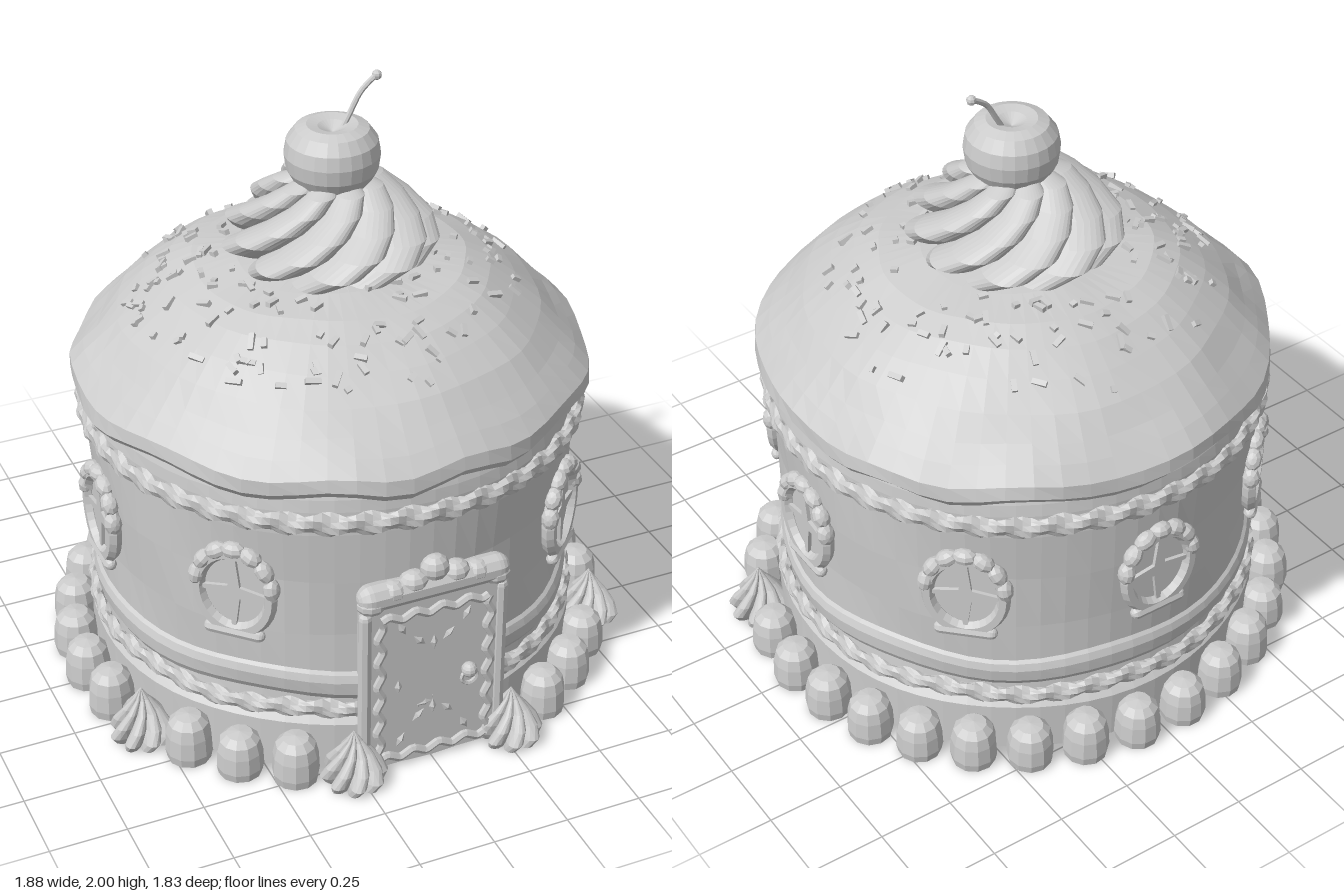
import * as THREE from 'three';

const clay = new THREE.MeshStandardMaterial({ color: 0xcccccc, flatShading: true });
clay.name = 'pale grey';

let seed = 7;
const rand = () => (seed = (seed * 16807) % 2147483647) / 2147483647;
const { sin, cos, PI, abs } = Math;
const rad = (d) => d * PI / 180;

function add(parent, name, geometry, x = 0, y = 0, z = 0) {
  const mesh = new THREE.Mesh(geometry, clay);
  mesh.name = name;
  mesh.position.set(x, y, z);
  parent.add(mesh);
  return mesh;
}

// Turned shape whose points are moved by rule(angle, radius, y) -> [angle, radius, y]
function turned(profile, sides, rule = (a, r, y) => [a, r, y]) {
  const geo = new THREE.LatheGeometry(profile.map(([r, y]) => new THREE.Vector2(r, y)), sides);
  const p = geo.attributes.position;
  const n = profile.length;
  for (let i = 0; i < p.count; i++) {
    const [r0, y0] = profile[i % n];
    const [a, r, y] = rule((Math.floor(i / n) % sides) / sides * 2 * PI, r0, y0);
    p.setXYZ(i, r * sin(a), y, r * cos(a));
  }
  geo.computeVertexNormals();
  return geo;
}

// Piped cream: lobed cross-section twisting as it rises
function piped(profile, lobes, twist, depth, sides) {
  const height = profile[profile.length - 1][1];
  return turned(profile, sides, (a, r, y) =>
    [a + twist * y / height, r * (1 - depth + depth * abs(cos(a * lobes / 2)) ** 0.8 * 1.3), y]);
}

// Twisted icing cord around the wall
function cord(radius, y, halfHeight, halfDepth, wobble) {
  const n = 10;
  const profile = Array.from({ length: n + 1 }, (_, i) => {
    const t = i / n * 2 * PI - PI;
    return [radius + halfDepth * cos(t), y + halfHeight * sin(t)];
  });
  return turned(profile, 200, (a, r, py) => {
    const t = Math.atan2((py - y) / halfHeight, (r - radius) / halfDepth);
    const k = 0.9 + 0.25 * sin(2 * t - 40 * a);
    return [a, radius + (r - radius) * k, y + (py - y) * k + wobble * sin(9 * a)];
  });
}

// Dome height profile, also used to seat the sprinkles
const domeProfile = [[0.77, 1.03], [0.80, 1.015], [0.825, 1.045], [0.82, 1.09], [0.775, 1.14], [0.73, 1.185],
  [0.67, 1.25], [0.59, 1.315], [0.51, 1.37], [0.43, 1.405], [0.3, 1.425], [0.15, 1.435], [0, 1.44]];
const domeRule = (a, r, y) => {
  const low = Math.max(0, (1.25 - y) / 0.25);
  const lump = 0.008 * sin(5 * a + y * 9) + 0.006 * sin(11 * a - y * 14);
  return [a, r * (1 + lump), y + 0.018 * low * sin(10 * a + sin(3 * a)) + 0.006 * sin(4 * a + r * 9) * (1 - low)];
};
function domeHeight(r) {
  const i = domeProfile.findIndex(([pr], k) => k > 2 && pr <= r);
  const [r0, y0] = domeProfile[i - 1], [r1, y1] = domeProfile[i];
  const slope = (y1 - y0) / (r0 - r1);
  return { y: y0 + slope * (r0 - r), slope };
}

// Round window facing +z, local origin at its centre on the wall
function makeWindow() {
  const g = new THREE.Group();
  add(g, 'windowPane', new THREE.CircleGeometry(1, 24), 0, 0, 0.006).scale.set(0.11, 0.135, 1);
  add(g, 'windowFrame', new THREE.TorusGeometry(0.12, 0.022, 6, 28), 0, 0, 0.008).scale.set(1, 1.18, 1.1);
  // Glazing cross, thick in the middle and narrow at the ends
  const s = new THREE.Shape();
  for (let i = 0; i < 4; i++) {
    const a = i * PI / 2, len = i % 2 ? 0.13 : 0.11;
    const pt = (u, v) => [u * cos(a) - v * sin(a), u * sin(a) + v * cos(a)];
    if (i === 0) s.moveTo(...pt(len, -0.006)); else s.lineTo(...pt(len, -0.006));
    s.lineTo(...pt(len, 0.006));
    s.lineTo(...pt(0.02, 0.02));
  }
  add(g, 'windowCross', new THREE.ExtrudeGeometry(s, { depth: 0.014, bevelEnabled: false }), 0, 0, 0.004);
  // Scalloped icing over the top
  for (let i = 0; i < 7; i++) {
    const a = rad(10 + i * 160 / 6);
    const m = add(g, 'windowIcing', new THREE.SphereGeometry(1, 9, 6), 0.125 * cos(a), 0.015 + 0.14 * sin(a), 0.012);
    m.scale.set(0.04, 0.027, 0.03);
    m.rotation.z = a + PI / 2;
  }
  const sill = add(g, 'windowSill', new THREE.CapsuleGeometry(0.021, 0.16, 4, 8), 0, -0.145, 0.014);
  sill.rotation.z = PI / 2;
  return g;
}

function makeDoor() {
  const g = new THREE.Group();
  g.name = 'door';
  add(g, 'doorPanel', new THREE.BoxGeometry(0.46, 0.61, 0.1), 0, 0.315, 0.755);
  // Straight outer jambs and wavy inner icing trim
  for (const s of [-1, 1]) {
    add(g, 'doorJamb', new THREE.CapsuleGeometry(0.022, 0.56, 3, 8), s * 0.23, 0.315, 0.795);
    const side = Array.from({ length: 25 }, (_, i) =>
      new THREE.Vector3(s * (0.185 + 0.01 * sin(i * PI / 2)), 0.04 + i * 0.0225, 0.81));
    add(g, 'doorTrim', new THREE.TubeGeometry(new THREE.CatmullRomCurve3(side), 60, 0.014, 6));
  }
  for (const y of [0.045, 0.58]) {
    const rail = Array.from({ length: 17 }, (_, i) =>
      new THREE.Vector3(-0.18 + i * 0.0225, y + 0.01 * sin(i * PI / 2), 0.81));
    add(g, 'doorTrim', new THREE.TubeGeometry(new THREE.CatmullRomCurve3(rail), 40, 0.014, 6));
  }
  // Small candy chips fanned on the panel
  for (const [x, y, turn] of [[0, 0.45, 0], [-0.05, 0.47, 0.8], [0.05, 0.47, -0.8], [0, 0.2, 0], [-0.05, 0.18, -0.8],
    [0.05, 0.18, 0.8], [-0.11, 0.53, 0.5], [0.11, 0.53, -0.5], [-0.11, 0.1, -0.5], [0.11, 0.1, 0.5], [-0.12, 0.31, 0]]) {
    const chip = add(g, 'doorChip', new THREE.OctahedronGeometry(1), x, y, 0.806);
    chip.scale.set(0.013, 0.028, 0.01);
    chip.rotation.z = turn;
  }
  add(g, 'doorKnob', new THREE.SphereGeometry(0.026, 10, 8), 0.115, 0.32, 0.825);
  add(g, 'doorKnocker', new THREE.TorusGeometry(0.026, 0.007, 5, 14), 0.115, 0.295, 0.825);
  // Icing canopy
  const bar = add(g, 'doorCanopy', new THREE.CapsuleGeometry(0.045, 0.42, 5, 10), 0, 0.665, 0.79);
  bar.rotation.z = PI / 2;
  for (let i = -3; i <= 3; i++) {
    const m = add(g, 'canopyScallop', new THREE.SphereGeometry(1, 10, 7), i * 0.07, 0.7 - 0.006 * i * i + (i ? 0 : 0.025), 0.795);
    m.scale.set(0.048, i ? 0.036 : 0.045, 0.042);
  }
  return g;
}

export function createModel() {
  const model = new THREE.Group();
  model.name = 'cakeHouse';

  // Wall with soft layered rolls near the foot
  const wall = [[0, 0], [0.8, 0], [0.8, 0.17], [0.775, 0.2], [0.77, 0.26], [0.785, 0.285], [0.79, 0.33], [0.782, 0.355],
    [0.772, 0.365], [0.775, 0.5], [0.78, 0.7], [0.79, 0.88], [0.79, 0.96], [0.785, 1.0], [0.77, 1.05], [0, 1.05]];
  add(model, 'wall', turned(wall, 64, (a, r, y) =>
    [a, r + (r && y > 0.1 ? 0.004 * sin(6 * a + y * 13) : 0), y + (y > 0.25 && y < 0.4 ? 0.009 * sin(7 * a) : 0)]));
  add(model, 'upperCord', cord(0.795, 0.925, 0.037, 0.024, 0));
  add(model, 'lowerCord', cord(0.785, 0.222, 0.032, 0.022, 0.006));

  add(model, 'icingDome', turned(domeProfile, 60, domeRule));

  // Sprinkles lying on the dome
  const out = new THREE.Vector3(), up = new THREE.Vector3(0, 1, 0);
  for (let i = 0; i < 150; i++) {
    const a = rand() * 2 * PI, r = 0.29 + 0.35 * rand() ** 0.9;
    const { y, slope } = domeHeight(r);
    const [, rr, yy] = domeRule(a, r, y);
    const m = add(model, 'sprinkle', new THREE.BoxGeometry(0.018 + 0.035 * rand(), 0.018, 0.017), rr * sin(a), yy + 0.004, rr * cos(a));
    out.set(sin(a) * slope, 1, cos(a) * slope).normalize();
    m.quaternion.setFromUnitVectors(up, out);
    m.rotateY(rand() * PI);
    m.rotateZ((rand() - 0.5) * 0.5);
  }

  // Large cream swirl, cherry and stem
  const swirl = [[0.2, 0], [0.29, 0.02], [0.325, 0.07], [0.31, 0.12], [0.265, 0.17], [0.215, 0.22], [0.165, 0.265], [0.1, 0.29], [0, 0.3]];
  add(model, 'creamSwirl', piped(swirl, 9, 1.7, 0.2, 108), 0, 1.41, 0);
  const cherry = [[0, 1.62], [0.07, 1.63], [0.115, 1.665], [0.143, 1.715], [0.15, 1.765], [0.142, 1.81], [0.115, 1.847], [0.08, 1.86], [0.045, 1.853], [0, 1.83]];
  add(model, 'cherry', turned(cherry, 24), 0.005, 0, 0.01);
  const stem = new THREE.CatmullRomCurve3([[0.03, 1.82, 0.01], [0.065, 1.88, 0.005], [0.105, 1.945, 0], [0.16, 1.985, -0.01]].map((p) => new THREE.Vector3(...p)));
  add(model, 'cherryStem', new THREE.TubeGeometry(stem, 14, 0.009, 7));
  add(model, 'stemTip', new THREE.SphereGeometry(0.016, 8, 6), 0.162, 1.984, -0.01);

  // Windows every 45 degrees, with the door in front
  for (let i = 1; i < 8; i++) {
    const a = i * PI / 4;
    const w = makeWindow();
    w.name = 'window';
    w.position.set(0.782 * sin(a), 0.64, 0.782 * cos(a));
    w.rotation.y = a;
    model.add(w);
  }
  model.add(makeDoor());

  // Ring of gumdrops with piped kisses beside the door and at the front corners
  const gumdrop = [[0, 0], [0.07, 0], [0.076, 0.03], [0.073, 0.09], [0.064, 0.13], [0.042, 0.153], [0, 0.16]];
  const kiss = [[0, 0], [0.085, 0], [0.1, 0.03], [0.085, 0.07], [0.055, 0.115], [0.025, 0.155], [0, 0.195]];
  for (const s of [-1, 1]) {
    for (let k = 0; k < 14; k++) {
      const a = s * rad(174 - 12 * k);
      const isKiss = k === 9 || k === 13;
      const geo = isKiss ? piped(kiss, 8, 1, 0.3, 48) : turned(gumdrop, 11);
      const r = isKiss ? 0.015 : 0;
      const m = add(model, isKiss ? 'creamKiss' : 'gumdrop', geo, (0.865 + r) * sin(a), 0, (0.84 + r) * cos(a));
      m.rotation.y = k * 1.3;
      if (!isKiss) m.scale.y = 0.94 + 0.1 * rand();
    }
  }
  return model;
}
